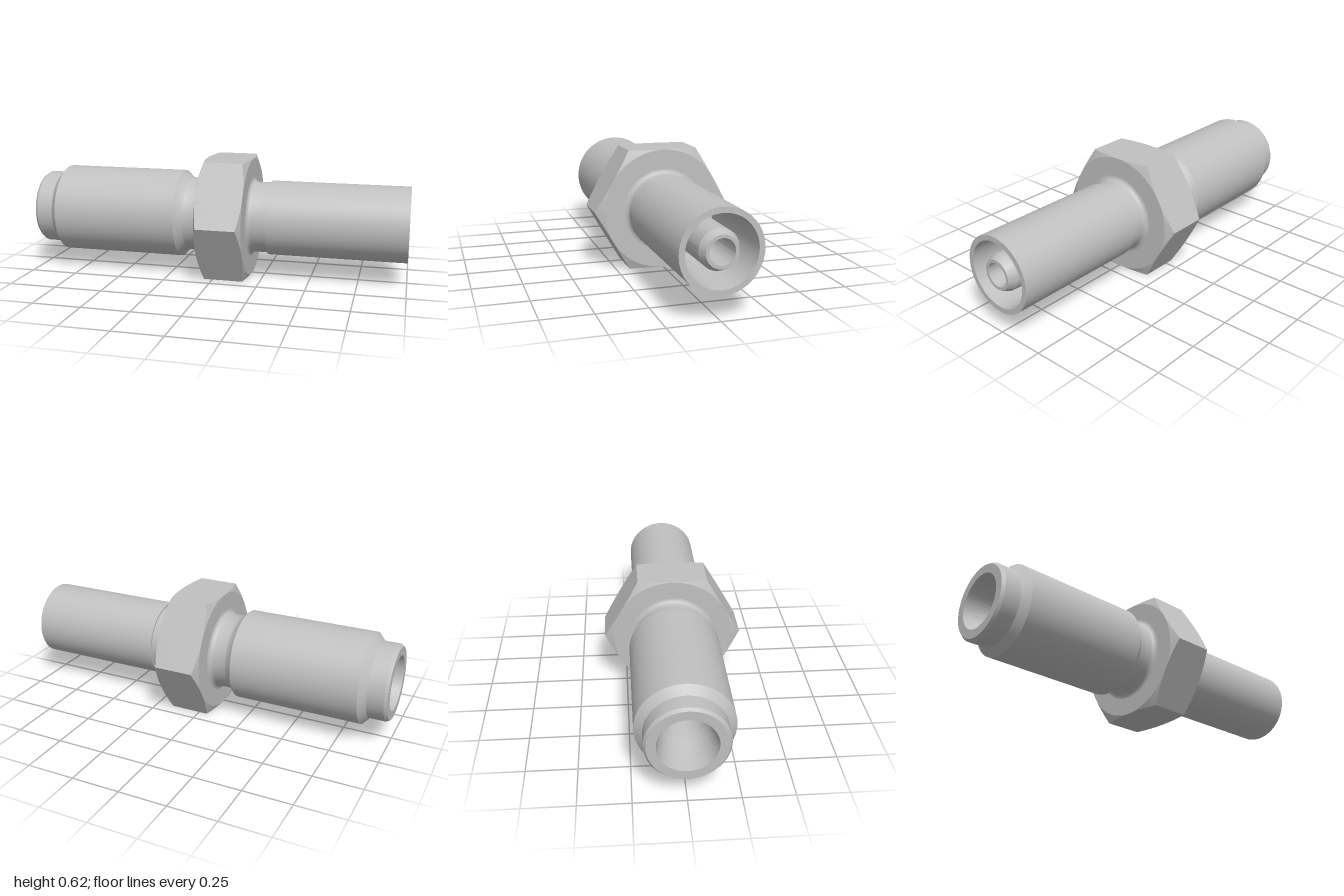
import * as THREE from 'three';
import { toCreasedNormals } from 'three/addons/utils/BufferGeometryUtils.js';

const APOTHEM = 0.3125;

// Turned part: profile of [axial position, radius]
function turned(name, profile, material) {
  const points = profile.map(([a, r]) => new THREE.Vector2(r, a));
  const mesh = new THREE.Mesh(toCreasedNormals(new THREE.LatheGeometry(points, 72), 0.4), material);
  mesh.name = name;
  return mesh;
}

// Quarter-round from angle t0 to t1 about [a, r]
function fillet(a, r, radius, t0, t1) {
  return Array.from({ length: 7 }, (_, i) => {
    const t = t0 + ((t1 - t0) * i) / 6;
    return [a + radius * Math.cos(t), r + radius * Math.sin(t)];
  });
}

// Hexagon collar with conically chamfered corners
function hexCollar(material, start, end) {
  const rows = [[0.17, start], [APOTHEM, start], [APOTHEM, start], [APOTHEM, end], [APOTHEM, end], [0.17, end]];
  const geometry = new THREE.LatheGeometry(rows.map(([r, a]) => new THREE.Vector2(r, a)), 72);
  const p = geometry.attributes.position;
  for (let i = 0; i < p.count; i++) {
    const row = i % rows.length;
    if (row !== 2 && row !== 3) continue;
    const angle = (Math.floor(i / rows.length) / 72) * Math.PI * 2;
    const r = APOTHEM / Math.cos((angle % (Math.PI / 3)) - Math.PI / 6);
    const inset = (r - APOTHEM) * 0.42;
    p.setXYZ(i, r * Math.sin(angle), row === 2 ? start + inset : end - inset, r * Math.cos(angle));
  }
  const mesh = new THREE.Mesh(toCreasedNormals(geometry, 0.3), material);
  mesh.name = 'hexCollar';
  return mesh;
}

export function createModel() {
  const steel = new THREE.MeshStandardMaterial({ color: 0xc0c0c0 });
  steel.name = 'steel';
  const model = new THREE.Group();
  model.name = 'pipeFitting';
  const fitting = new THREE.Group();
  fitting.name = 'fittingParts';
  const { PI } = Math;

  fitting.add(
    // Threaded-side barrel with its nose and neck
    turned('barrel', [
      [-1, 0.14], [-1, 0.185], [-0.985, 0.196], [-0.9, 0.196], [-0.865, 0.234],
      [-0.2, 0.234], [-0.165, 0.2], [-0.155, 0.196],
      ...fillet(-0.09, 0.221, 0.025, -PI / 2, 0),
    ], steel),
    hexCollar(steel, -0.065, 0.18),
    // Neck behind the sleeve
    turned('neck', [...fillet(0.205, 0.212, 0.025, PI, PI * 1.5), [0.28, 0.187]], steel),
    // Sleeve with open end, tapered cavity and inner nipple
    turned('sleeve', [
      [0.28, 0.187], [0.28, 0.197], [1, 0.197], [1, 0.17], [0.5, 0.148], [0.5, 0.095],
    ], steel),
    turned('nipple', [[0.5, 0.095], [0.96, 0.095], [1, 0.077], [1, 0.061]], steel),
    // Through bore and conical seat in the nose
    turned('bore', [[1, 0.061], [-0.55, 0.061], [-0.55, 0.1], [-0.8, 0.1], [-0.82, 0.106], [-1, 0.14]], steel),
  );

  // Lay the turning axis along x
  fitting.rotation.z = -PI / 2;
  fitting.position.y = APOTHEM;
  model.add(fitting);
  return model;
}
